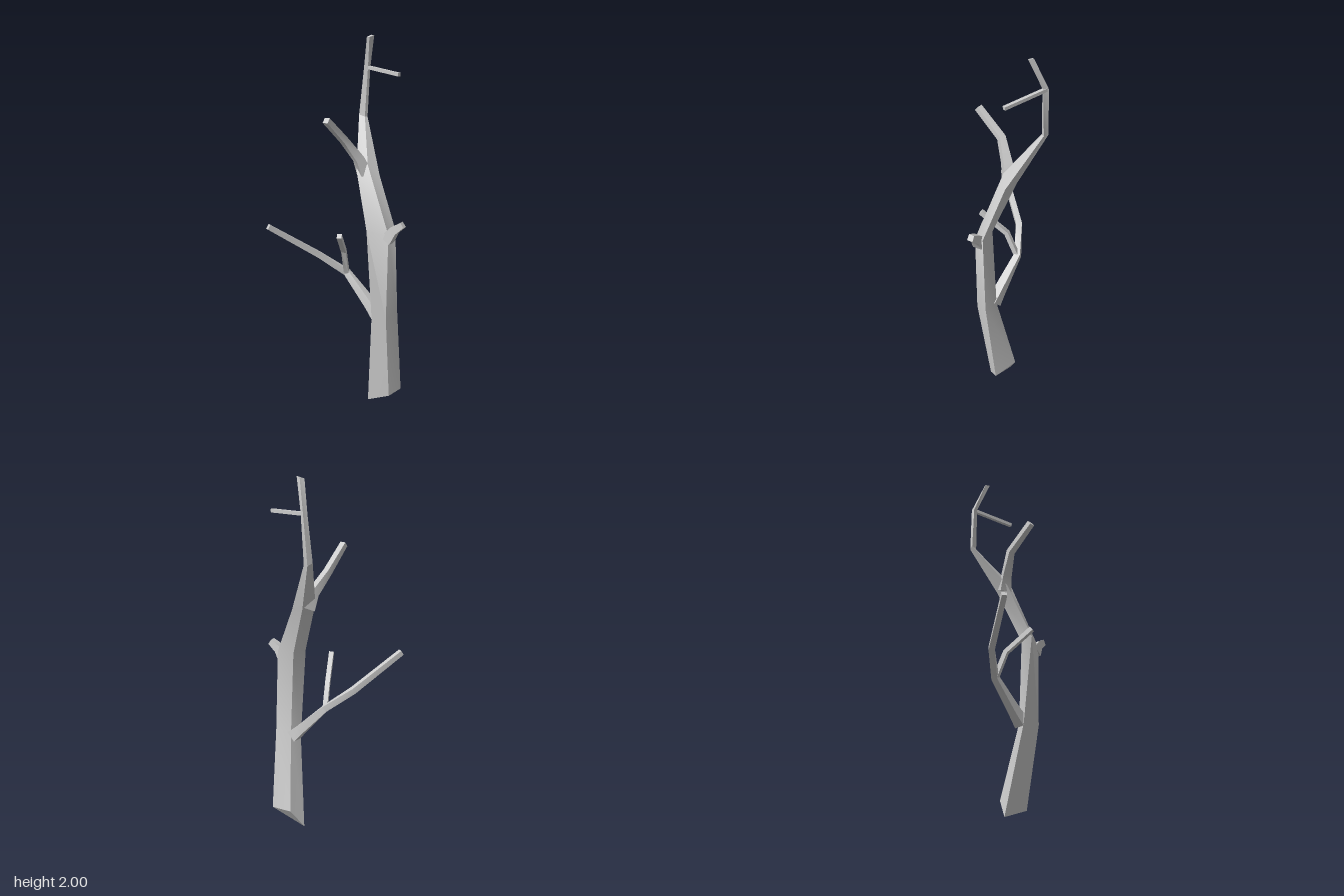
import * as THREE from 'three';
import { toCreasedNormals } from 'three/addons/utils/BufferGeometryUtils.js';

// Skin four-cornered rings into a closed solid with creased edges.
function loft(rings) {
  const n = rings[0].length;
  const index = [];
  for (let r = 0; r < rings.length - 1; r++) {
    for (let i = 0; i < n; i++) {
      const a = r * n + i, b = r * n + (i + 1) % n;
      index.push(a, b, a + n, b, b + n, a + n);
    }
  }
  const top = (rings.length - 1) * n;
  for (let i = 1; i < n - 1; i++) {
    index.push(0, i + 1, i);
    index.push(top, top + i, top + i + 1);
  }
  const geometry = new THREE.BufferGeometry();
  geometry.setAttribute('position', new THREE.Float32BufferAttribute(rings.flat(2), 3));
  geometry.setIndex(index);
  return toCreasedNormals(geometry, 0.5);
}

// Square rings along a bent path; each point is [x, y, z, radius].
function branchRings(path) {
  const pts = path.map(p => new THREE.Vector3(p[0], p[1], p[2]));
  return pts.map((p, i) => {
    const dir = new THREE.Vector3();
    if (i > 0) dir.add(p.clone().sub(pts[i - 1]).normalize());
    if (i < pts.length - 1) dir.add(pts[i + 1].clone().sub(p).normalize());
    dir.normalize();
    const u = new THREE.Vector3(0, 1, 0).cross(dir).normalize();
    const v = dir.clone().cross(u);
    return [0, 1, 2, 3].map(k => {
      const a = (k + 0.5) * Math.PI / 2;
      return p.clone()
        .addScaledVector(u, Math.cos(a) * path[i][3])
        .addScaledVector(v, Math.sin(a) * path[i][3]).toArray();
    });
  });
}

export function createModel() {
  const group = new THREE.Group();
  const material = new THREE.MeshStandardMaterial({ color: 0xcccccc });
  const add = (name, rings) => {
    const mesh = new THREE.Mesh(loft(rings), material);
    mesh.name = name;
    group.add(mesh);
  };

  // Trunk: corners run right, front, left, back in each ring.
  add('trunk', [
    [[0.12, 0, -0.05], [0.26, 0.06, 0.005], [0.31, 0.09, -0.05], [0.18, 0.11, -0.11]],
    [[0.17, 0.51, 0.04], [0.265, 0.52, 0.08], [0.305, 0.55, 0.01], [0.21, 0.53, -0.01]],
    [[0.16, 1.0, 0.1], [0.275, 0.98, 0.08], [0.295, 1.0, 0.025], [0.2, 1.0, 0.015]],
    [[0.065, 1.3, -0.005], [0.125, 1.33, -0.015], [0.18, 1.27, -0.05], [0.11, 1.28, -0.085]],
    [[0.01, 1.57, -0.195], [0.045, 1.56, -0.19], [0.055, 1.56, -0.205], [0.03, 1.56, -0.22]],
    [[0.035, 1.82, -0.2], [0.06, 1.83, -0.195], [0.07, 1.83, -0.205], [0.05, 1.83, -0.225]],
    [[0.07, 1.99, -0.145], [0.09, 1.99, -0.13], [0.112, 2, -0.145], [0.09, 2, -0.162]],
  ]);

  // Side branches, each starting inside its parent.
  const branches = {
    forkBranch: [[0.1, 1.28, -0.035, 0.045], [0.075, 1.36, -0.01, 0.034],
      [0.015, 1.465, 0.05, 0.025], [-0.025, 1.585, 0.2, 0.022]],
    lowerBranch: [[0.2, 0.52, 0.015, 0.045], [0.15, 0.57, 0, 0.036], [0, 0.725, -0.038, 0.024],
      [-0.14, 0.825, 0.02, 0.023], [-0.352, 1.005, 0.215, 0.02]],
    lowerTwig: [[0, 0.72, -0.035, 0.018], [0.005, 0.86, 0.025, 0.018],
      [0.033, 0.975, 0.167, 0.018]],
    sideStub: [[0.26, 0.95, 0.055, 0.045], [0.3, 1.005, 0.06, 0.032],
      [0.35, 1.04, 0.066, 0.023]],
    upperTwig: [[0.05, 1.825, -0.212, 0.013], [0.27, 1.803, -0.088, 0.013]],
  };
  for (const [name, path] of Object.entries(branches)) add(name, branchRings(path));

  return group;
}
